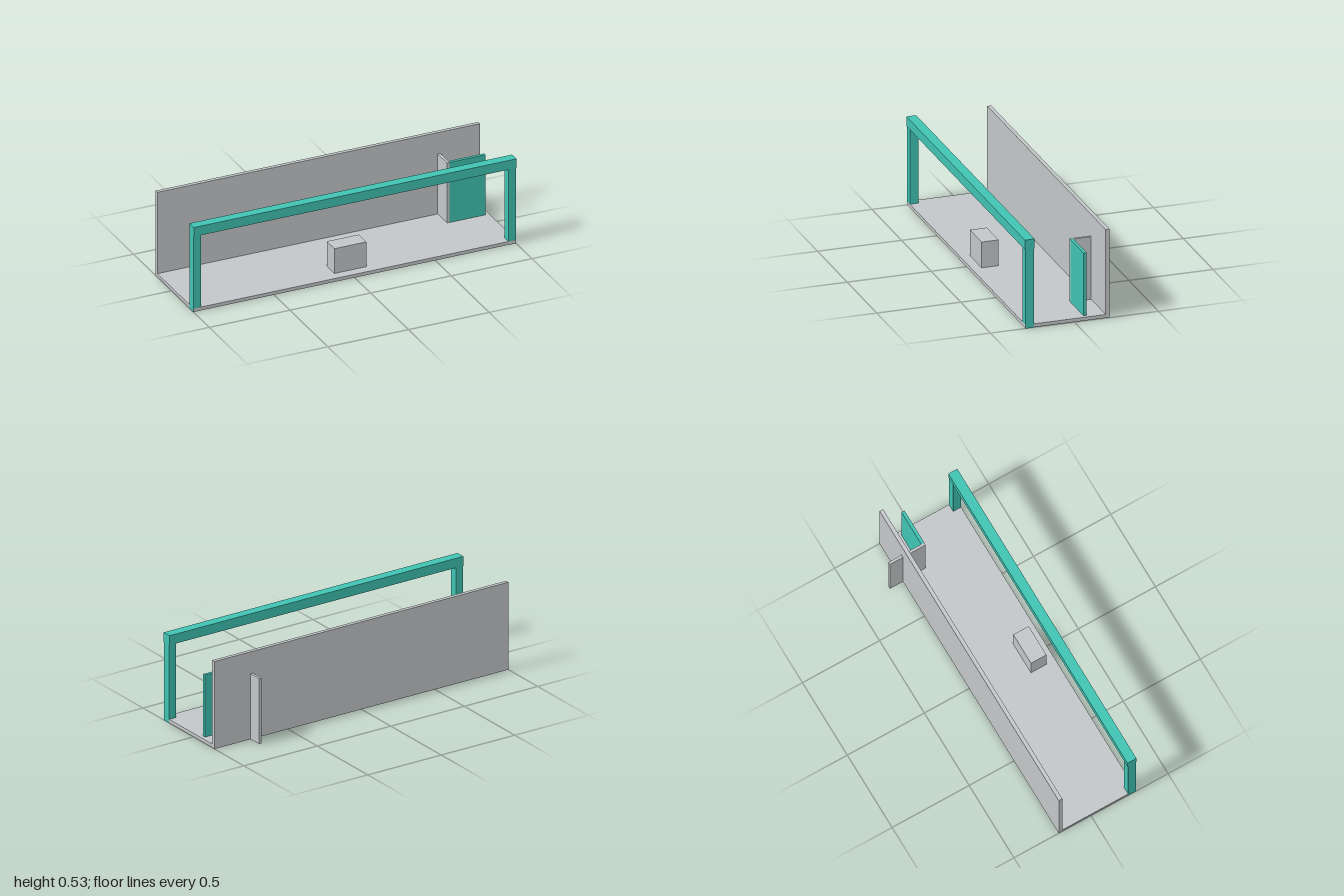
import * as THREE from 'three';

export function createModel() {
  const model = new THREE.Group();
  model.name = 'stageSet';

  const grey = new THREE.MeshStandardMaterial({ color: 0xc3c6c8 });
  grey.name = 'light grey';
  const teal = new THREE.MeshStandardMaterial({ color: 0x40c3b3 });
  teal.name = 'teal';

  // Box given by its [min, max] range on each axis
  function block(name, material, [x0, x1], [y0, y1], [z0, z1]) {
    const mesh = new THREE.Mesh(new THREE.BoxGeometry(x1 - x0, y1 - y0, z1 - z0), material);
    mesh.position.set((x0 + x1) / 2, (y0 + y1) / 2, (z0 + z1) / 2);
    mesh.name = name;
    model.add(mesh);
    return mesh;
  }

  // Floor slab and back wall
  block('floor', grey, [-0.9995, 0.9995], [0.001, 0.022], [-0.208, 0.2915]);
  block('backWall', grey, [-1, 1], [0, 0.534], [-0.209, -0.186]);

  // Front frame: two posts under a slightly deeper beam
  for (const [side, name] of [[-1, 'rightPost'], [1, 'leftPost']]) {
    const post = block(name, teal, [0.952, 1], [0, 0.478], [0.241, 0.291]);
    post.position.x *= side;
  }
  block('topBeam', teal, [-1, 1], [0.476, 0.534], [0.237, 0.295]);

  // Counter block behind the frame opening
  block('counter', grey, [-0.1, 0.098], [0.022, 0.178], [0.134, 0.234]);

  // L-shaped partition: grey panel through the back wall, teal screen facing the front
  block('partitionPanel', grey, [0.738, 0.754], [0.001, 0.4], [-0.294, -0.063]);
  block('partitionScreen', teal, [0.754, 0.976], [0, 0.4], [-0.081, -0.062]);

  return model;
}
